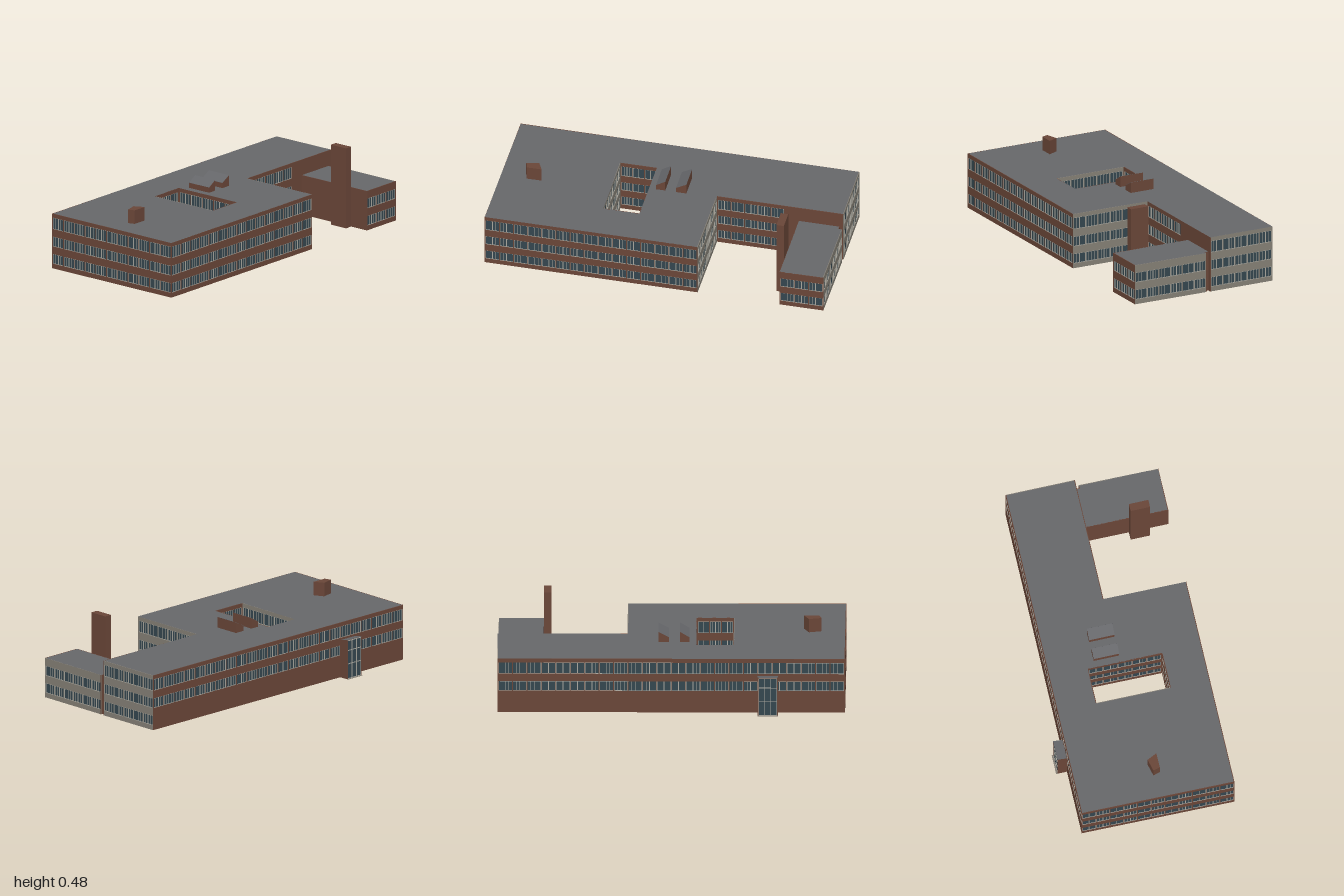
import * as THREE from 'three';
import { mergeGeometries } from 'three/addons/utils/BufferGeometryUtils.js';

const mat = (color) => new THREE.MeshStandardMaterial({ color, side: THREE.DoubleSide });
const brick = mat(0x6a4638), concrete = mat(0x858076), roofing = mat(0x66676a);
const glass = mat(0x34464f), frame = mat(0xa9a79e);

const H = 0.327, WING_H = 0.235, DEPTH = 0.004;
const FLOORS = [[0.028, 0.086], [0.131, 0.19], [0.235, 0.304]];
const BAY = 0.0815;

function mesh(name, geometry, material) {
  const m = new THREE.Mesh(geometry, material);
  m.name = name;
  return m;
}

function box(x0, x1, y0, y1, z) {
  return new THREE.BoxGeometry(x1 - x0, y1 - y0, 0.003).translate((x0 + x1) / 2, (y0 + y1) / 2, z);
}

function rectPath(x0, y0, x1, y1) {
  return new THREE.Path([[x0, y0], [x0, y1], [x1, y1], [x1, y0]].map((p) => new THREE.Vector2(...p)));
}

// Facade running from a to b ([x, z]); its outside is on the right-hand side of travel.
function facade(name, a, b, { height = H, floors = FLOORS, material = brick, from = 0, to } = {}) {
  const dx = b[0] - a[0], dz = b[1] - a[1], length = Math.hypot(dx, dz);
  const start = from + 0.004, end = (to ?? length) - 0.004;
  const group = new THREE.Group();
  group.name = name;
  group.position.set(a[0], 0, a[1]);
  group.rotation.y = Math.atan2(-dz, dx);

  const wall = new THREE.Shape([[0, 0], [length, 0], [length, height], [0, height]].map((p) => new THREE.Vector2(...p)));
  const panes = [], bars = [];
  const count = Math.max(1, Math.round((end - start) / BAY)), step = (end - start) / count;
  for (const [y0, y1] of floors) {
    for (let i = 0; i < count; i++) {
      const x0 = start + i * step + 0.002, x1 = start + (i + 1) * step - 0.002;
      wall.holes.push(rectPath(x0, y0, x1, y1));
      panes.push(new THREE.PlaneGeometry(x1 - x0, y1 - y0).translate((x0 + x1) / 2, (y0 + y1) / 2, -DEPTH));
      // Window frame: sill, head, jambs, centre post and a thin bar in each half
      const w = 0.0022, mid = (x0 + x1) / 2, z = -DEPTH + 0.001;
      bars.push(box(x0, x1, y0, y0 + w, z), box(x0, x1, y1 - w, y1, z));
      bars.push(box(x0, x0 + w, y0, y1, z), box(x1 - w, x1, y0, y1, z), box(mid - w, mid + w, y0, y1, z));
      for (const s of [-1, 1]) {
        const bx = mid + s * (x1 - x0) / 4;
        bars.push(box(bx - 0.0005, bx + 0.0005, y0, y1, z));
      }
    }
  }
  const shell = new THREE.ExtrudeGeometry(wall, { depth: DEPTH, bevelEnabled: false }).translate(0, 0, -DEPTH);
  group.add(mesh(name + 'Masonry', shell, material));
  if (panes.length) {
    group.add(mesh(name + 'Glass', mergeGeometries(panes), glass));
    group.add(mesh(name + 'WindowFrames', mergeGeometries(bars), frame));
  }
  return group;
}

// Flat roof over an outline of [x, z] points, with optional openings
function roof(name, outline, y, openings = []) {
  const toPoints = (pts) => pts.map(([x, z]) => new THREE.Vector2(x, -z));
  const shape = new THREE.Shape(toPoints(outline));
  openings.forEach((o) => shape.holes.push(new THREE.Path(toPoints(o))));
  return mesh(name, new THREE.ShapeGeometry(shape).rotateX(-Math.PI / 2).translate(0, y, 0), roofing);
}

// Upright block over an outline of [x, z] points
function block(name, outline, y0, y1, material = brick) {
  const shape = new THREE.Shape(outline.map(([x, z]) => new THREE.Vector2(x, -z)));
  const g = new THREE.ExtrudeGeometry(shape, { depth: y1 - y0, bevelEnabled: false });
  return mesh(name, g.rotateX(-Math.PI / 2).translate(0, y0, 0), material);
}

const rect = (x0, x1, z0, z1) => [[x0, z1], [x1, z1], [x1, z0], [x0, z0]];

// Rooftop skylight housing: tall at the back, its roof falling to the front
function skylight(name, x0, x1, z0, z1) {
  const low = 0.357, high = 0.39;
  const group = new THREE.Group();
  group.name = name;
  const side = new THREE.Shape([[-z1, H], [-z0, H], [-z0, high], [-z1, low]].map((p) => new THREE.Vector2(...p)));
  const body = new THREE.ExtrudeGeometry(side, { depth: x1 - x0, bevelEnabled: false });
  group.add(mesh(name + 'Body', body.rotateY(Math.PI / 2).translate(x0, 0, 0), brick));
  const slope = Math.hypot(z1 - z0, high - low);
  const lid = new THREE.BoxGeometry(x1 - x0, 0.001, slope).rotateX(Math.atan2(high - low, z1 - z0));
  group.add(mesh(name + 'Roof', lid.translate((x0 + x1) / 2, (low + high) / 2 + 0.0007, (z0 + z1) / 2), roofing));
  return group;
}

// Entrance porch on the right side, glazed on its outer face
function porch() {
  const group = new THREE.Group();
  group.name = 'porch';
  const x0 = -0.477, x1 = -0.421, z0 = 0.492, z1 = 0.608, outer = 0.235, inner = 0.222;
  const cheek = new THREE.Shape([[x0, 0], [x1, 0], [x1, inner], [x0, outer]].map((p) => new THREE.Vector2(...p)));
  for (const z of [z0, z1 - 0.006]) {
    const g = new THREE.ExtrudeGeometry(cheek, { depth: 0.006, bevelEnabled: false });
    group.add(mesh('porchSideWall', g.translate(0, 0, z), brick));
  }
  const lid = new THREE.BoxGeometry(Math.hypot(x1 - x0, outer - inner), 0.003, z1 - z0);
  lid.rotateZ(Math.atan2(inner - outer, x1 - x0)).translate((x0 + x1) / 2, (outer + inner) / 2 - 0.001, (z0 + z1) / 2);
  group.add(mesh('porchRoof', lid, roofing));
  const place = (g) => g.rotateY(-Math.PI / 2).translate(x0 + 0.003, 0, (z0 + z1) / 2);
  const half = (z1 - z0) / 2 - 0.006;
  group.add(mesh('porchGlass', place(new THREE.PlaneGeometry(half * 2, 0.23).translate(0, 0.115, 0)), glass));
  const bars = [-half, -half / 3, half / 3, half].map((x) => box(x - 0.002, x + 0.002, 0, 0.23, 0.001));
  for (const y of [0.002, 0.09, 0.17, 0.228]) bars.push(box(-half, half, y - 0.002, y + 0.002, 0.001));
  group.add(mesh('porchFrame', place(mergeGeometries(bars)), frame));
  const step = new THREE.BoxGeometry(0.064, 0.002, z1 - z0).translate(-0.453, 0.001, (z0 + z1) / 2);
  group.add(mesh('porchStep', step, concrete));
  return group;
}

export function createModel() {
  const model = new THREE.Group();
  model.name = 'officeBuilding';

  // Main block with a notch at the back and an inner courtyard
  const A = [-0.423, 0.993], B = [0.474, 1], C = [0.477, -0.253];
  const D = [-0.009, -0.256], E = [-0.007, -1], F = [-0.415, -1];
  const court = [[-0.19, 0.14], [0.243, 0.143], [0.243, 0.355], [-0.19, 0.353]];
  model.add(
    facade('frontFacade', A, B),
    facade('leftFacade', B, C),
    facade('notchBackFacade', C, D, { material: concrete }),
    facade('notchSideFacade', D, E, { to: 0.4 }),
    facade('backFacade', E, F, { material: concrete }),
    facade('rightFacade', F, A, { floors: FLOORS.slice(1) }),
  );
  court.forEach((p, i) => model.add(facade('courtyardFacade', p, court[(i + 1) % 4],
    { material: i === 2 ? concrete : brick })));
  model.add(roof('mainRoof', [A, B, C, D, E, F], H, [court]));

  // Lower back wing, joined to the main block by a recessed strip
  const low = { height: WING_H, floors: FLOORS.slice(0, 2) };
  const P = [-0.008, -0.737], Q = [0.482, -0.735], R = [0.482, -0.993], S = [0.014, -0.997];
  const T = [0.014, -0.978], U = [-0.007, -0.978];
  model.add(
    facade('wingFrontWall', P, Q, { ...low, floors: [] }),
    facade('wingSideFacade', Q, R, low),
    facade('wingBackFacade', R, S, { ...low, material: concrete }),
    facade('wingReturnWall', S, T, { ...low, floors: [] }),
    facade('wingLinkWall', T, U, { ...low, floors: [] }),
    roof('wingRoof', [P, Q, R, S, T, U], WING_H),
  );

  // Chimney, rooftop housings and porch
  model.add(
    block('chimney', rect(0.25, 0.364, -0.734, -0.69), 0, 0.479),
    block('stairHousing', [[0.012, 0.785], [0.03, 0.857], [0.07, 0.845], [0.07, 0.757]], H, 0.408),
    skylight('rearSkylight', -0.148, 0.002, -0.078, -0.018),
    skylight('frontSkylight', -0.148, 0.002, 0.046, 0.1),
    porch(),
  );
  return model;
}
